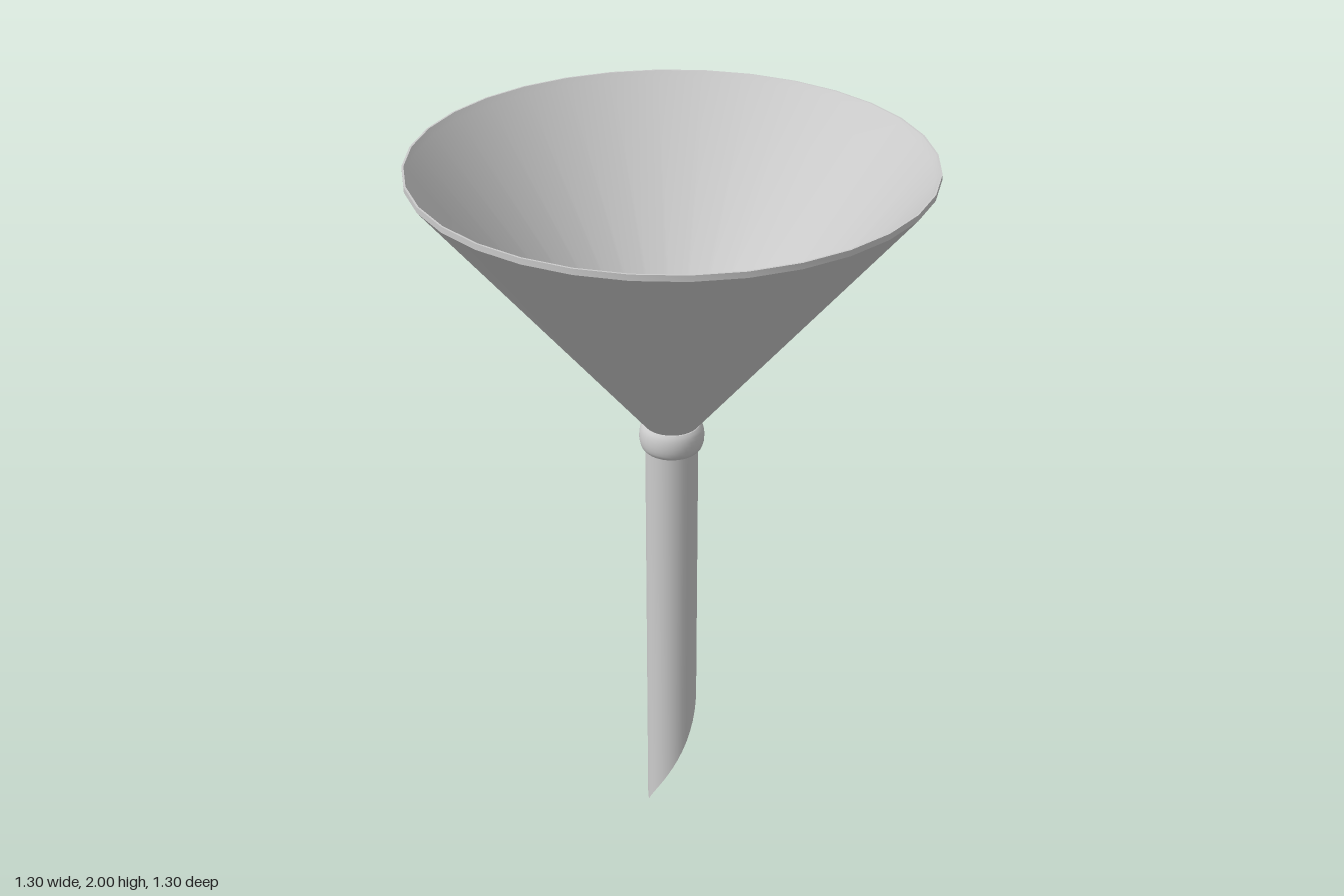
import * as THREE from 'three';
import { toCreasedNormals } from 'three/addons/utils/BufferGeometryUtils.js';

const SIDES = 32;
const STEM_RADIUS = 0.07;
const STEM_TOP = 1.28;

export function createModel() {
  const group = new THREE.Group();
  group.name = 'funnel';
  const material = new THREE.MeshStandardMaterial({ color: 0xcccccc, side: THREE.DoubleSide });

  const add = (name, geometry) => {
    const mesh = new THREE.Mesh(geometry, material);
    mesh.name = name;
    group.add(mesh);
  };
  const lathe = (points) =>
    toCreasedNormals(
      new THREE.LatheGeometry(points.map(([r, y]) => new THREE.Vector2(r, y)), SIDES),
      0.5
    );

  // Cone: up the outside, over the thin upright rim, down the inside
  add('cone', lathe([
    [0.071, 1.272], [0.65, 1.985], [0.65, 2], [0.645, 2], [0.635, 1.985], [0.068, 1.28],
  ]));

  // Collar: rounded bead around the joint
  const bead = [];
  for (let i = 0; i <= 10; i++) {
    const a = -Math.PI / 2 + (Math.PI * i) / 10;
    bead.push([STEM_RADIUS + 0.016 * Math.cos(a), 1.237 + 0.038 * Math.sin(a)]);
  }
  add('collar', lathe(bead));

  // Stem: open tube whose lower edge rises around the pipe, from the tip at -x to +x
  const stem = new THREE.CylinderGeometry(STEM_RADIUS, STEM_RADIUS, STEM_TOP, SIDES, 1, true);
  stem.translate(0, STEM_TOP / 2, 0);
  const pos = stem.attributes.position;
  for (let i = 0; i < pos.count; i++) {
    if (pos.getY(i) > 0.5) continue;
    const u = Math.abs(Math.atan2(pos.getZ(i), pos.getX(i))) / Math.PI;
    pos.setY(i, 0.44 - 0.56 * u + 0.12 * u * u);
  }
  add('stem', stem);

  return group;
}
